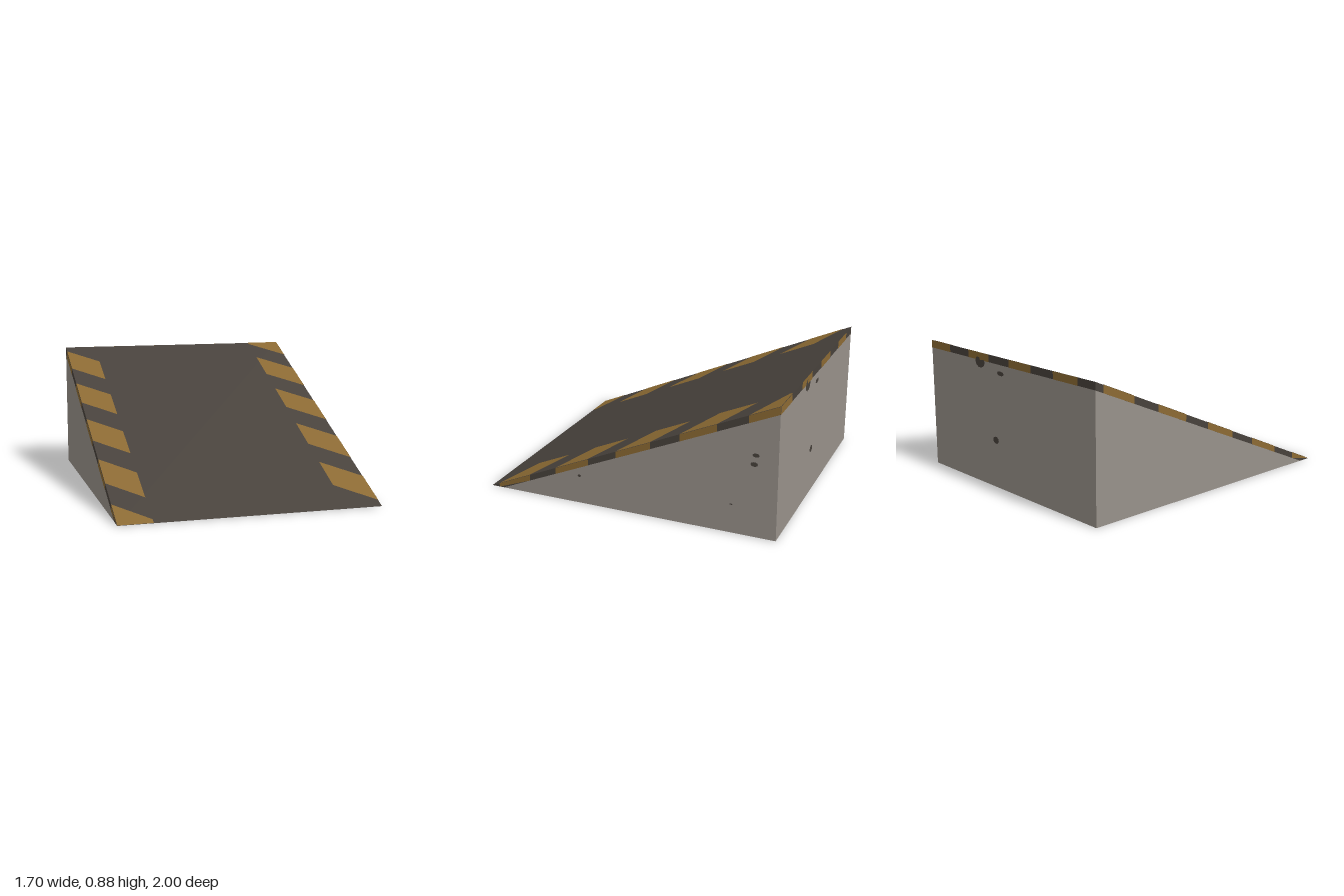
import * as THREE from 'three';

const W = 0.85;          // half width
const H = 0.875;         // height at the back
const LIFT = 0.002;      // paint stands just off the surface

const topY = z => H * (1 - z) / 2;
const underY = z => Math.max(0, 0.432 * (0.91 - z));
const clampZ = z => Math.min(1, Math.max(-1, z));

export function createModel() {
  const group = new THREE.Group();
  group.name = 'ramp';

  const concrete = new THREE.MeshStandardMaterial({ name: 'concreteGrey', color: 0x98918a });
  const asphalt = new THREE.MeshStandardMaterial({ name: 'asphaltDark', color: 0x48423c });
  const paint = new THREE.MeshStandardMaterial({ name: 'ochrePaint', color: 0x8c6a33, side: THREE.DoubleSide });
  const stain = new THREE.MeshStandardMaterial({ name: 'stainDark', color: 0x48423c, side: THREE.DoubleSide });

  // Solid with a [z, y] side profile, running the full width
  function prism(name, profile, material) {
    const shape = new THREE.Shape(profile.map(([z, y]) => new THREE.Vector2(-z, y)));
    const geo = new THREE.ExtrudeGeometry(shape, { depth: 2 * W, bevelEnabled: false });
    geo.translate(0, 0, -W).rotateY(Math.PI / 2);
    const mesh = new THREE.Mesh(geo, material);
    mesh.name = name;
    group.add(mesh);
  }

  // Flat painted face from four corners
  function quad(name, corners) {
    const geo = new THREE.BufferGeometry();
    geo.setAttribute('position', new THREE.Float32BufferAttribute(corners.flat(), 3));
    geo.setIndex([0, 1, 2, 0, 2, 3]);
    geo.computeVertexNormals();
    const mesh = new THREE.Mesh(geo, paint);
    mesh.name = name;
    group.add(mesh);
  }

  // Small flat oval mark, turned to face out of its wall
  function spot(name, position, rotation, rx, ry) {
    const mesh = new THREE.Mesh(new THREE.CircleGeometry(1, 10), stain);
    mesh.name = name;
    mesh.scale.set(rx, ry, 1);
    mesh.position.set(...position);
    mesh.rotation.set(...rotation);
    group.add(mesh);
  }

  // Wedge body and the thin road deck on its slope
  prism('wedgeBody', [[0.91, 0], [-1, 0.825], [-1, 0]], concrete);
  prism('deck', [[1, 0], [-1, H], [-1, 0.825], [0.91, 0]], asphalt);

  // Slanted hazard stripes down both edges, wrapping onto the deck sides
  const columns = [
    { side: 'right', x0: -W, x1: -0.63, z0: -0.94, z1: -0.785, edge: -W - LIFT },
    { side: 'left', x0: W, x1: 0.61, z0: -1.05, z1: -1.22, edge: W + LIFT },
  ];
  for (const { side, x0, x1, z0, z1, edge } of columns) {
    for (let k = 0; k < 5; k++) {
      const step = k * 0.438;
      const outerA = clampZ(z0 + step), outerB = clampZ(z0 + step + 0.24);
      const innerA = clampZ(z1 + step), innerB = clampZ(z1 + step + 0.24);
      const on = (x, z) => [x, topY(z) + LIFT, z];
      const top = [on(x0, outerA), on(x0, outerB), on(x1, innerB), on(x1, innerA)];
      // keep the upward winding on both columns
      quad(`${side}TopStripe${k}`, x0 < 0 ? top : top.reverse());
      const flank = [
        [edge, topY(outerA), outerA], [edge, underY(outerA), outerA],
        [edge, underY(outerB), outerB], [edge, topY(outerB), outerB],
      ];
      quad(`${side}EdgeStripe${k}`, x0 < 0 ? flank : flank.reverse());
    }
  }

  // Stripes along the back edge of the deck
  for (let k = 0; k < 4; k++) {
    const a = W - k * 0.44, b = a - 0.225, z = -1 - LIFT;
    quad(`backEdgeStripe${k}`, [[a, H, z], [a, 0.825, z], [b, 0.825, z], [b, H, z]]);
  }

  // Small stains on the left wall, back wall and underside
  [[0.545, -0.86, 0.022, 0.013], [0.485, -0.85, 0.024, 0.015], [0.195, 0.33, 0.012, 0.009], [0.195, -0.71, 0.01, 0.004]]
    .forEach(([y, z, rx, ry], i) => spot(`sideStain${i}`, [W + LIFT, y, z], [0, Math.PI / 2, 0], rx, ry));
  [[0.28, 0.815, 0.052, 0.04], [0.06, 0.77, 0.036, 0.015], [0.13, 0.32, 0.03, 0.024]]
    .forEach(([x, y, rx, ry], i) => spot(`backStain${i}`, [x, y, -1 - LIFT], [0, Math.PI, 0], rx, ry));
  [[-0.015, -0.26, 0.035, 0.025], [-0.03, -0.37, 0.02, 0.02], [0.04, -0.34, 0.014, 0.014], [-0.16, 0.23, 0.022, 0.018]]
    .forEach(([x, z, rx, ry], i) => spot(`undersideStain${i}`, [x, -LIFT, z], [Math.PI / 2, 0, 0], rx, ry));

  return group;
}
